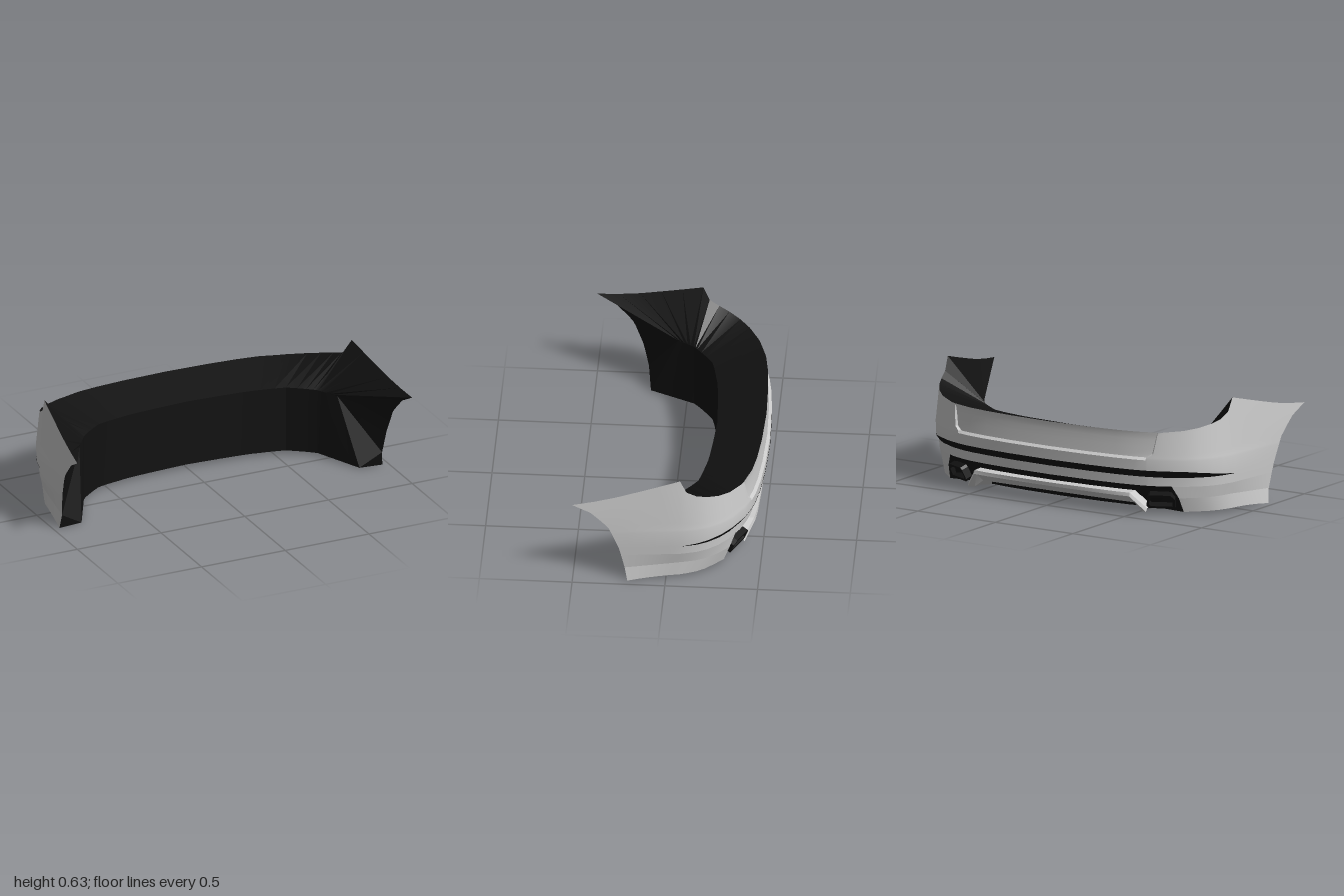
import * as THREE from 'three';
import { toCreasedNormals } from 'three/addons/utils/BufferGeometryUtils.js';

const grey = new THREE.MeshStandardMaterial({ color: 0xcccccc, side: THREE.DoubleSide });
const black = new THREE.MeshStandardMaterial({ color: 0x111111, side: THREE.DoubleSide });
const V = (x, y, z) => new THREE.Vector3(x, y, z);
const lerp = THREE.MathUtils.lerp;
const clamp01 = (t) => Math.min(1, Math.max(0, t));

// piecewise linear lookup in [key, value] pairs with rising keys
function lookup(table, k) {
  for (let i = 1; i < table.length; i++) {
    const [a, va] = table[i - 1], [b, vb] = table[i];
    if (k <= b) return lerp(va, vb, clamp01((k - a) / (b - a)));
  }
  return table[table.length - 1][1];
}

// surface through rows of points
function sheet(name, rows, material, crease = 0.45) {
  const n = rows[0].length, index = [];
  for (let r = 0; r < rows.length - 1; r++) {
    for (let c = 0; c < n - 1; c++) {
      const a = r * n + c, b = a + n;
      index.push(a, b, a + 1, a + 1, b, b + 1);
    }
  }
  const g = new THREE.BufferGeometry().setFromPoints(rows.flat());
  g.setIndex(index);
  const mesh = new THREE.Mesh(toCreasedNormals(g, crease), material);
  mesh.name = name;
  return mesh;
}
// extend a half row (starting at x = 0) to both sides
const whole = (row) => [...row.slice(1).reverse().map((p) => V(-p.x, p.y, p.z)), ...row];

// plan outline from the rear centre to the flank
const plan = [[0, -0.5], [0.25, -0.492], [0.42, -0.478], [0.54, -0.46], [0.6, -0.445], [0.612, -0.441],
  [0.69, -0.412], [0.79, -0.352], [0.85, -0.295], [0.895, -0.23], [0.92, -0.17], [0.932, -0.115], [0.938, -0.08]];
const FLANK = plan.length - 1, SIDES = 5, COLS = plan.length + SIDES;
// wheel arch edge (y, z) and top edge (z, y)
const arch = [[0, 0.205], [0.11, 0.225], [0.235, 0.255], [0.35, 0.305], [0.445, 0.39], [0.505, 0.5]];
const topEdge = [[-0.5, 0.46], [-0.41, 0.465], [-0.33, 0.48], [-0.25, 0.5], [-0.17, 0.525],
  [-0.115, 0.555], [-0.09, 0.59], [-0.08, 0.63]];
const wingTop = [[0, 0.63], [0.57, 0.545], [0.83, 0.517], [1, 0.505]];

const cols = [...Array(COLS).keys()];
const along = (c) => Math.max(0, (c - FLANK) / SIDES);
const topY = (c) => (c > FLANK ? lookup(wingTop, along(c)) : lookup(topEdge, plan[c][1]));
const bottomY = (c) => 0.02 * (1 - along(c) ** 2);
const bandWidth = (c) => (c > FLANK ? 0 : clamp01((-0.08 - plan[c][1]) / 0.28));
// how far the lower edge curls inwards, strongest at the rear corner
const tuck = (c) => (c > FLANK ? 0.35 * (1 - along(c)) : lerp(0.35, 1, clamp01((-0.08 - plan[c][1]) / 0.22)));

// point on the outline at a height, pushed inwards by inset
function skinPoint(c, y, inset, archY = y) {
  if (c > FLANK) {
    const f = along(c), z = lerp(-0.08, lookup(arch, archY), f);
    return V(0.938 + (z + 0.08) * 0.107 - inset, y, z);
  }
  const a = plan[Math.max(0, c - 1)], b = plan[Math.min(FLANK, c + 1)];
  const dx = b[0] - a[0], dz = b[1] - a[1], l = Math.hypot(dx, dz);
  const nx = c ? dz / l : 0, nz = c ? -dx / l : -1;
  return V(plan[c][0] - nx * inset, y, plan[c][1] - nz * inset);
}

const lowInset = (c) => lerp(0.008, 0.032, bandWidth(c));
const bandLow = (lift) => (c) => skinPoint(c, 0.215, lowInset(c) - 0.003 - lift);
const bandHigh = (lift) => (c) =>
  skinPoint(c, 0.215 + 0.04 * bandWidth(c), lerp(0.005, 0.002, bandWidth(c)) - lift);
const bottom = (c) => skinPoint(c, bottomY(c), 0.004 + 0.058 * tuck(c));
const flare = (c) => skinPoint(c, 0.1 - 0.02 * along(c), 0.014 + 0.026 * tuck(c));
const lip = (c) => skinPoint(c, 0.165, lowInset(c));
const bulge = (c) => skinPoint(c, 0.312, 0);
// upper rows, with a panel sunk across the middle that widens upwards
const upper = (t, sink) => (c) => {
  const at = (k) => skinPoint(k, lerp(0.325, topY(k), t), (0.002 + 0.018 * t) * (1 - along(k)) + (k <= 4 ? sink : 0),
    lerp(0.325, 0.505, t));
  const widen = c === 4 || c === 5 ? 0.3 * Math.min(1, t / 0.15) + 0.35 * t : 0;
  const p = at(c);
  return widen ? p.lerp(skinPoint(6, p.y, (0.002 + 0.018 * t) + (c === 4 ? sink : 0)), widen) : p;
};
const uppers = [upper(0, 0.014), upper(0.15, 0.013), upper(0.4, 0.011), upper(0.7, 0.008), upper(0.9, 0.004), upper(1, 0)];
const topRow = uppers[uppers.length - 1];
const half = (fn, list = cols) => list.map((c) => fn(c));

// inner liner: top and bottom paths, one point per column
const inner = [[0, -0.215], [0.19, -0.205], [0.3, -0.197], [0.37, -0.19], [0.42, -0.18], [0.45, -0.175], [0.5, -0.165],
  [0.56, -0.15], [0.61, -0.115], [0.65, -0.085], [0.68, -0.06], [0.69, -0.05], [0.7, -0.04]];
const innerPoint = (c, end) => {
  const p = inner[Math.min(c, FLANK)];
  return V(p[0], end === lowEnd ? 0.02 : 0.39, p[1]).lerp(end, along(c));
};
const topEnd = V(0.77, 0.38, 0.05), lowEnd = V(0.83, 0.005, 0.2);
const innerTop = (c) => innerPoint(c, topEnd);
const innerLow = (c) => innerPoint(c, lowEnd);

// recess behind the lower opening
const depth = [1, 1, 1, 1, 1, 0.95, 0.75, 0.25];
const mouth = [...depth.keys()];
const recess = (y, inset) => (c) => skinPoint(c, y, lerp(lowInset(c), inset, depth[c]));
const recessFoot = recess(0.02, 0.17);

export function createModel() {
  const model = new THREE.Group();
  model.name = 'rearBumper';

  // painted outer skin with a dark band laid just over its sloping step
  model.add(sheet('outerSkin', [lip, bandLow(0), bandHigh(0), bulge, ...uppers].map((f) => whole(half(f))), grey));
  const rear = cols.slice(0, FLANK + 1);
  model.add(sheet('darkBand', [bandLow(0.0015), bandHigh(0.0015)].map((f) => whole(half(f, rear))), black));

  // liner: shelf and wall
  model.add(sheet('linerShelf', [topRow, innerTop].map((f) => whole(half(f))), black, 0.2));
  model.add(sheet('linerWall', [innerTop, innerLow].map((f) => whole(half(f))), black, 0.2));

  // dark opening below the lower band
  model.add(sheet('lowerOpening', [recessFoot, recess(0.1, 0.085), recess(0.145, 0.07), lip]
    .map((f) => whole(half(f, mouth))), black));

  // diffuser: ridge, long sloping panel and feet lofted from cross-sections of [y, z]
  const ridge = [[0.125, -0.42], [0.122, -0.475], [0.102, -0.473], [0.096, -0.443], [0.05, -0.37]];
  const foot = [[0.036, -0.335], [0.036, -0.392], [0.015, -0.4], [0.015, -0.385], [0.015, -0.335]];
  const stations = [[0, 0], [0.25, 0.008], [0.42, 0.02], [0.5, 0.035]];
  const diffuserRows = ridge.map(([y, z], i) => whole([
    ...stations.map(([x, shift]) => V(x, y, z + shift * (1 - i / 5))),
    V(i > 2 ? 0.54 : 0.575, ...foot[i]),
  ]));
  diffuserRows.push(whole(half(innerLow, [0, 1, 2, 3, 3])));
  model.add(sheet('diffuser', diffuserRows, grey, 0.35));

  // parts repeated on each side
  for (const s of [1, -1]) {
    const side = new THREE.Group();
    side.name = s > 0 ? 'leftSide' : 'rightSide';
    side.scale.x = s;

    // lower corner in two creased strips, its inner edge slanting along the opening
    const flank = cols.slice(6);
    const [hem, middle, upperEdge] = [[bottom, 0], [flare, 0.25], [lip, 0.6]].map(([f, t]) =>
      half((c) => (c === 6 ? f(7).lerp(f(6), t) : f(c)), flank));
    side.add(sheet('lowerHem', [hem, middle], grey));
    side.add(sheet('lowerCorner', [middle, upperEdge], grey));

    // underside of the corner
    const under = cols.slice(3);
    const floorEdge = (c) => (c < 7 ? recessFoot(c) : bottom(c));
    side.add(sheet('linerFloor', [innerLow, floorEdge].map((f) => half(f, under)), black, 0.2));

    // wheel arch closing face, fanned from the liner's top corner
    const last = COLS - 1;
    const edge = [bottom, flare, lip, bandLow(0), bulge, ...uppers].map((f) => f(last));
    const fan = edge.map((p) => innerLow(last).lerp(innerTop(last), clamp01(p.y / 0.08)));
    side.add(sheet('archFace', [edge, fan], black, 0.2));

    // exhaust surround
    const frame = (w, h) => [[-w, -h], [w * 0.85, -h], [w, -h * 0.6], [w * 0.9, h * 0.7], [w * 0.75, h], [-w * 0.7, h], [-w, h * 0.4]]
      .map(([x, y]) => new THREE.Vector2(x, y));
    const shape = new THREE.Shape(frame(0.078, 0.042));
    shape.holes.push(new THREE.Path(frame(0.064, 0.029)));
    const surround = new THREE.Mesh(new THREE.ExtrudeGeometry(shape, { depth: 0.04, bevelEnabled: false }), black);
    surround.name = 'exhaustSurround';
    surround.position.set(0.64, 0.093, -0.348);
    surround.rotation.set(0.4, Math.PI - 0.45, 0, 'YXZ');
    side.add(surround);
    model.add(side);
  }
  return model;
}
